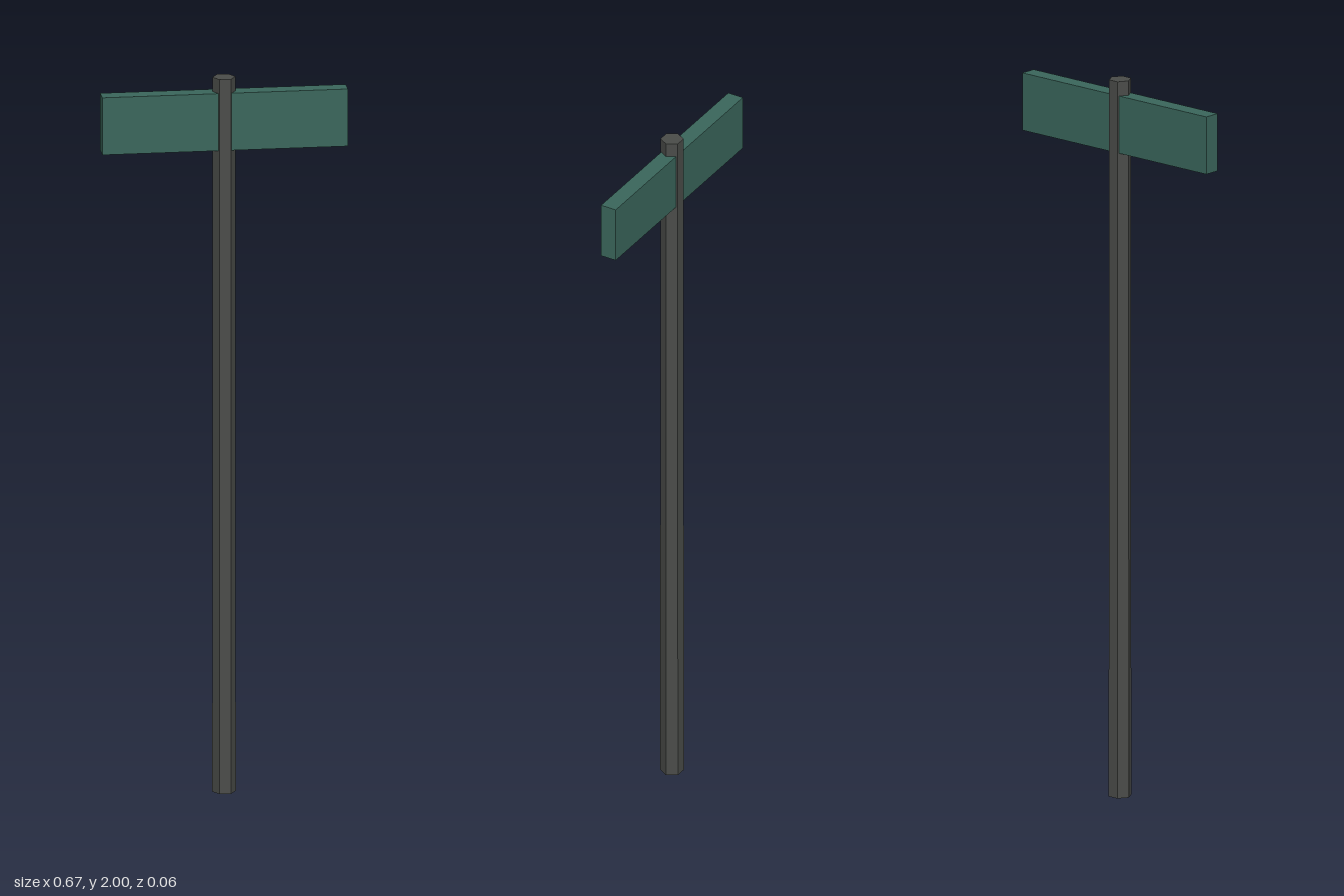
import * as THREE from 'three';

export function createModel() {
  const model = new THREE.Group();
  model.name = 'signpost';

  const poleGrey = new THREE.MeshStandardMaterial({ color: 0x4a4c49, flatShading: true });
  poleGrey.name = 'pole grey';
  const signGreen = new THREE.MeshStandardMaterial({ color: 0x3a665b, flatShading: true });
  signGreen.name = 'sign green';

  // Slender hexagonal pole with flat faces to front and back
  const pole = new THREE.Mesh(
    new THREE.CylinderGeometry(0.031, 0.032, 2, 6).rotateY(Math.PI / 6),
    poleGrey
  );
  pole.name = 'pole';
  pole.position.y = 1;
  model.add(pole);

  // Sign board passing through the pole
  const board = new THREE.Mesh(new THREE.BoxGeometry(0.666, 0.16, 0.046), signGreen);
  board.name = 'signBoard';
  board.position.y = 1.88;
  model.add(board);

  return model;
}
